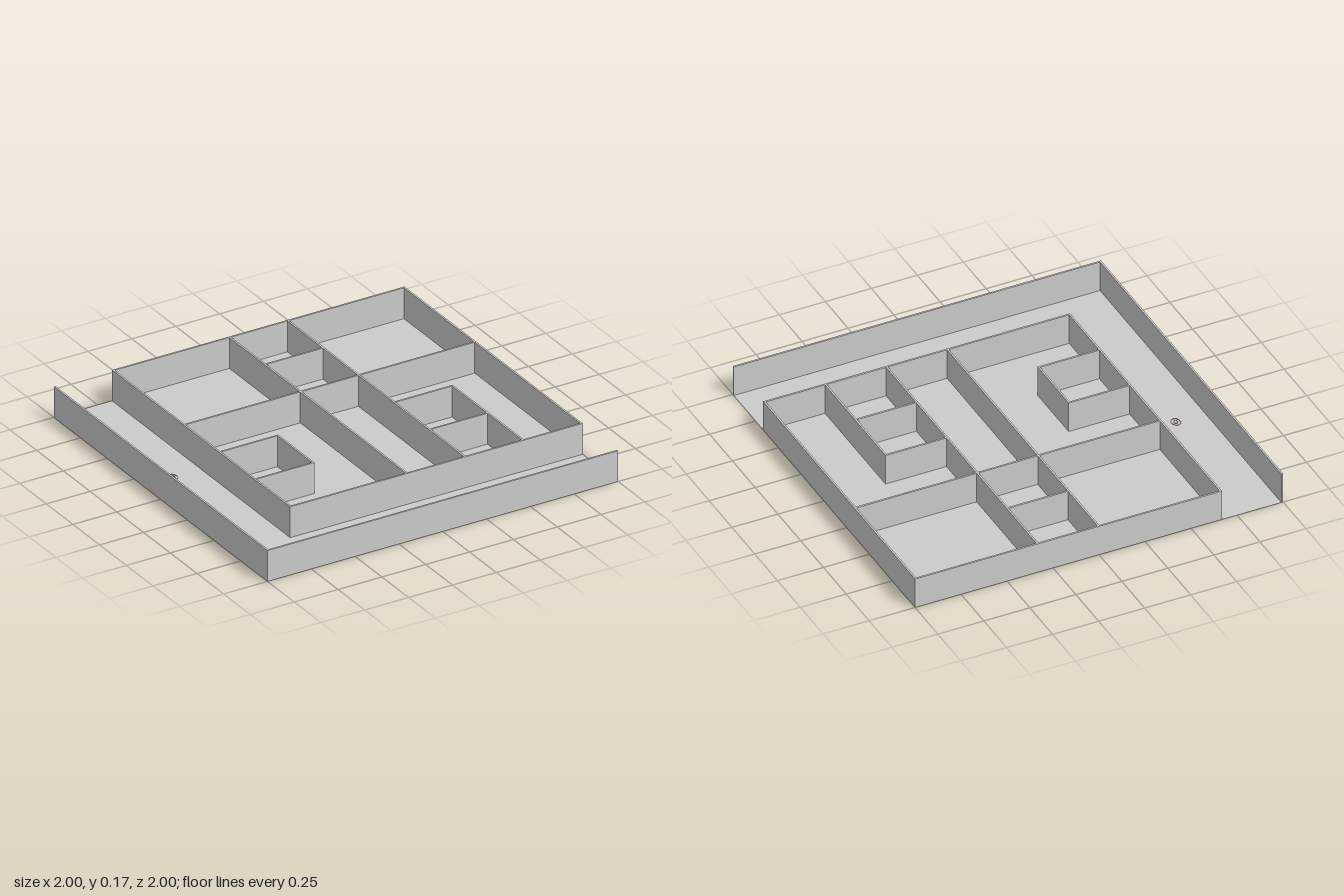
import * as THREE from 'three';

const CELL = 0.3317, THICK = 0.01, HEIGHT = 0.17;

// Walls along z: [x, zStart, zEnd] in cells from the centre
const ALONG_Z = [
  [-3, -3, 3], [-2, -3, 2], [-1, 0, 1], [0, -3, 2],
  [1, -3, 2], [2, 0, 2], [3, -3, 2],
];
// Walls along x: [z, xStart, xEnd]
const ALONG_X = [
  [3, -3, 3], [2, -2, 3], [1, -2, -1], [1, 1, 2], [0, -2, -1],
  [0, 1, 2], [-1, -2, 3], [-2, 0, 1], [-3, -2, 3],
];

export function createModel() {
  const group = new THREE.Group();
  const grey = new THREE.MeshStandardMaterial({ color: 0xcccccc });
  const floorMat = new THREE.MeshStandardMaterial({ color: 0xcccccc, side: THREE.DoubleSide });
  const tan = new THREE.MeshStandardMaterial({ color: 0xc8a878 });

  // Thin floor sheet
  const floor = new THREE.Mesh(new THREE.PlaneGeometry(2, 2).rotateX(-Math.PI / 2), floorMat);
  floor.name = 'floor';
  group.add(floor);

  // Maze walls, each reaching half a thickness past its end lines
  const walls = new THREE.Group();
  walls.name = 'walls';
  const addWall = (line, from, to, alongX) => {
    const length = (to - from) * CELL + THICK;
    const mid = (from + to) / 2 * CELL;
    const geo = new THREE.BoxGeometry(alongX ? length : THICK, HEIGHT, alongX ? THICK : length);
    const wall = new THREE.Mesh(geo, grey);
    wall.name = alongX ? 'crossWall' : 'lengthWall';
    wall.position.set(alongX ? mid : line * CELL, HEIGHT / 2, alongX ? line * CELL : mid);
    walls.add(wall);
  };
  ALONG_Z.forEach(([x, a, b]) => addWall(x, a, b, false));
  ALONG_X.forEach(([z, a, b]) => addWall(z, a, b, true));
  group.add(walls);

  // Small oval ring markers lying in the outer corridors
  const addMarker = (x, z, turn) => {
    const marker = new THREE.Group();
    marker.name = 'marker';
    [[0.025, 'outerRing'], [0.011, 'innerRing']].forEach(([r, name]) => {
      const geo = new THREE.TorusGeometry(r, 0.0015, 6, 24).rotateX(Math.PI / 2).scale(1.15, 1, 0.9);
      const ring = new THREE.Mesh(geo, tan);
      ring.name = name;
      marker.add(ring);
    });
    marker.position.set(x, 0.002, z);
    marker.rotation.y = turn;
    group.add(marker);
  };
  addMarker(-2.5 * CELL, -0.5 * CELL, Math.PI / 2);
  addMarker(0.5 * CELL, 2.5 * CELL, 0);

  return group;
}
